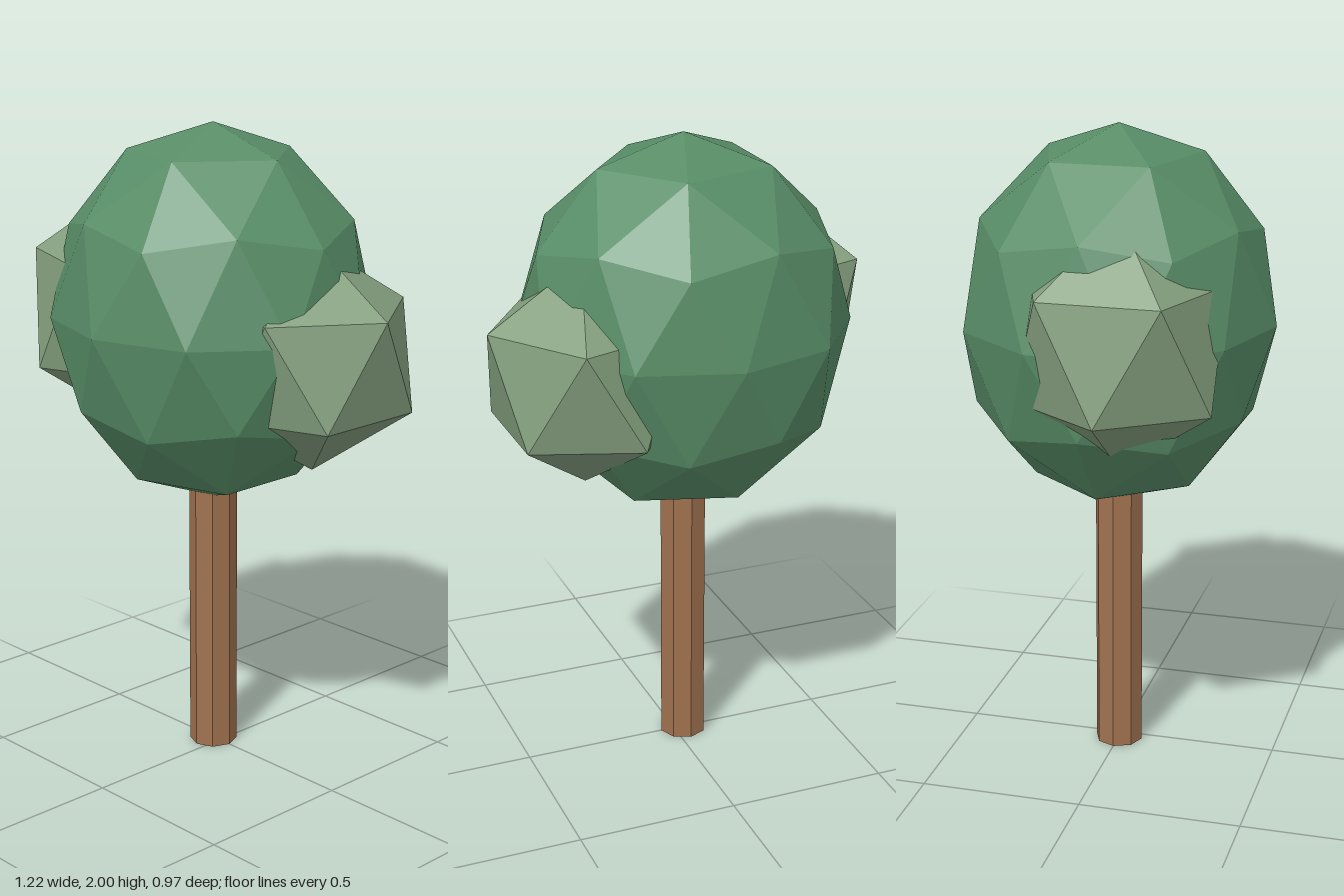
import * as THREE from 'three';

const mat = (name, color) => new THREE.MeshStandardMaterial({ name, color, flatShading: true });

// Faceted ellipsoid standing on one vertex, with a ring vertex facing +x
function foliage(name, material, detail, radii, centre) {
  const geometry = new THREE.IcosahedronGeometry(1, detail);
  geometry.rotateZ(-Math.atan(2 / (1 + Math.sqrt(5))));
  geometry.scale(...radii);
  geometry.computeVertexNormals();
  const mesh = new THREE.Mesh(geometry, material);
  mesh.name = name;
  mesh.position.set(...centre);
  return mesh;
}

export function createModel() {
  const tree = new THREE.Group();
  tree.name = 'tree';

  const bark = mat('bark brown', 0xa0714f);
  const leaf = mat('leaf green', 0x588d67);
  const paleLeaf = mat('pale leaf green', 0x849f7e);

  // Octagonal trunk, running a little way into the crown
  const trunk = new THREE.Mesh(new THREE.CylinderGeometry(0.075, 0.075, 0.95, 8), bark);
  trunk.name = 'trunk';
  trunk.position.set(-0.03, 0.475, 0);
  tree.add(trunk);

  // Large crown and the two side clumps
  tree.add(foliage('crown', leaf, 1, [0.515, 0.585, 0.485], [-0.03, 1.415, 0]));
  tree.add(foliage('leftClump', paleLeaf, 0, [0.324, 0.348, 0.347], [0.32, 1.325, -0.08]));
  tree.add(foliage('rightClump', paleLeaf, 0, [0.324, 0.382, 0.347], [-0.325, 1.41, 0.08]));

  return tree;
}
